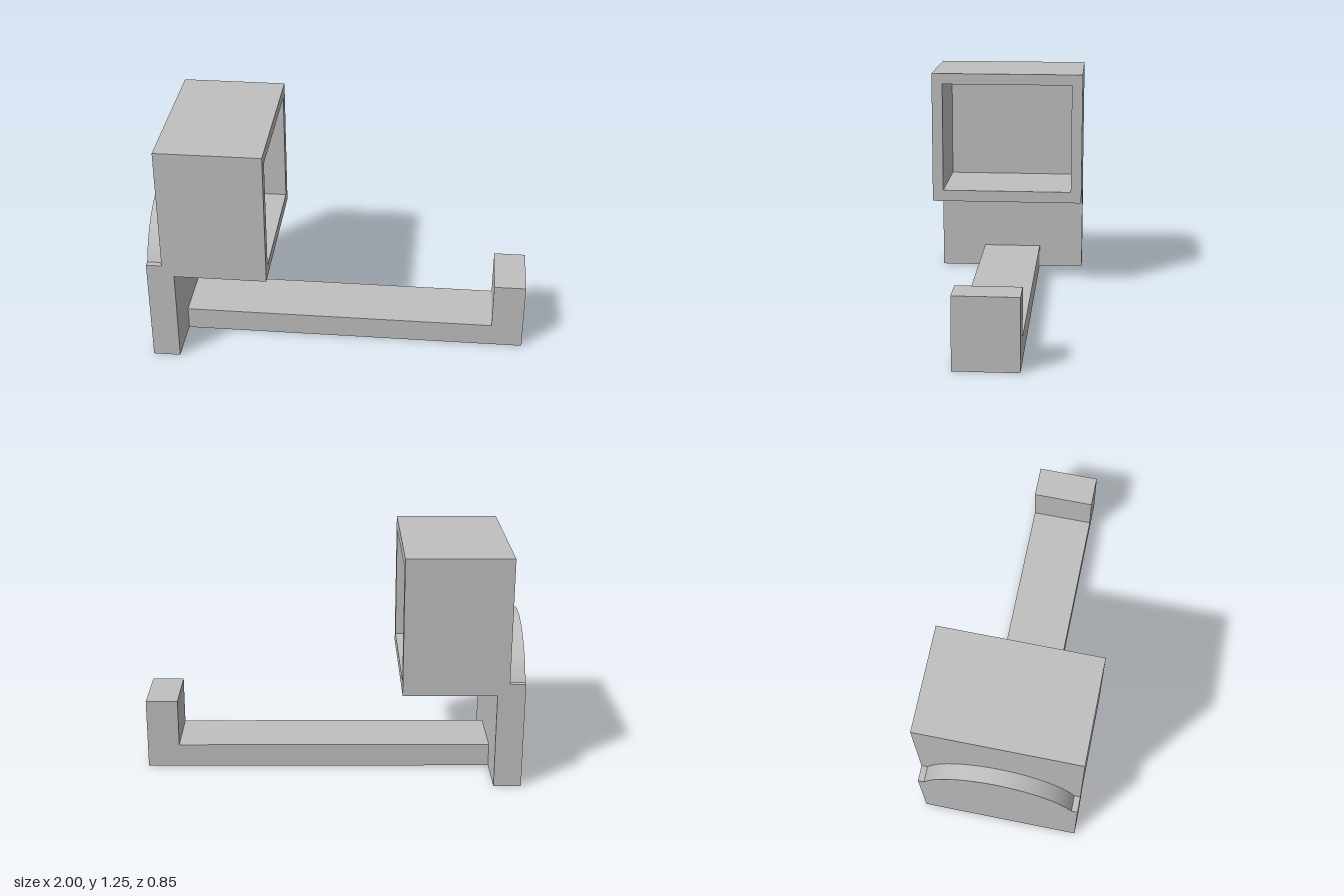
import * as THREE from 'three';
import { toCreasedNormals } from 'three/addons/utils/BufferGeometryUtils.js';

export function createModel() {
  const group = new THREE.Group();
  const grey = new THREE.MeshStandardMaterial({ color: 0xc0c0c0 });
  grey.name = 'plain grey';

  const add = (name, geometry) => {
    const mesh = new THREE.Mesh(geometry, grey);
    mesh.name = name;
    group.add(mesh);
  };
  // Box given by its limits in x and y, and its half width in z
  const block = (name, x0, x1, y0, y1, halfZ) => {
    const g = new THREE.BoxGeometry(x1 - x0, y1 - y0, halfZ * 2);
    add(name, g.translate((x0 + x1) / 2, (y0 + y1) / 2, 0));
  };
  // Side profile (z, y) extruded along x
  const slab = (name, shape, x0, x1) => {
    const g = new THREE.ExtrudeGeometry(shape, { depth: x1 - x0, bevelEnabled: false, curveSegments: 48 });
    g.rotateY(Math.PI / 2).translate(x0, 0, 0);
    add(name, toCreasedNormals(g, 0.4));
  };
  const rect = (target, h, y0, y1) =>
    target.moveTo(-h, y0).lineTo(h, y0).lineTo(h, y1).lineTo(-h, y1).closePath();

  const W = 0.425, boxBack = -0.917, wall = -0.855, boxFront = -0.365;
  const boxY0 = 0.515, boxY1 = 1.25;

  // Upright plate below the box
  block('uprightPlate', -1, wall, 0, boxY0, W);

  // Thin upper plate with a circular top and a small ledge at each side
  const ledgeY = 0.578, centreY = 0.415;
  const angle = Math.asin((ledgeY - centreY) / W);
  const arch = new THREE.Shape();
  arch.moveTo(-W, boxY0).lineTo(W, boxY0).lineTo(W, ledgeY);
  arch.lineTo(W * Math.cos(angle), ledgeY);
  arch.absarc(0, centreY, W, angle, Math.PI - angle, false);
  arch.lineTo(-W, ledgeY);
  arch.closePath();
  slab('archedPlate', arch, -1, boxBack);

  // Hollow box, open towards +x
  block('boxBackWall', boxBack, wall, boxY0, boxY1, W);
  const frame = rect(new THREE.Shape(), W, boxY0, boxY1);
  frame.holes.push(rect(new THREE.Path(), 0.365, 0.578, 1.19));
  slab('boxWalls', frame, wall, boxFront);

  // Long arm with an upturned end
  const arm = new THREE.Shape();
  arm.moveTo(wall, 0).lineTo(1, 0).lineTo(1, 0.38).lineTo(0.83, 0.38);
  arm.lineTo(0.83, 0.125).lineTo(wall, 0.125).closePath();
  const armGeometry = new THREE.ExtrudeGeometry(arm, { depth: 0.335, bevelEnabled: false });
  add('hookedArm', armGeometry.translate(0, 0, -0.1675));

  return group;
}
